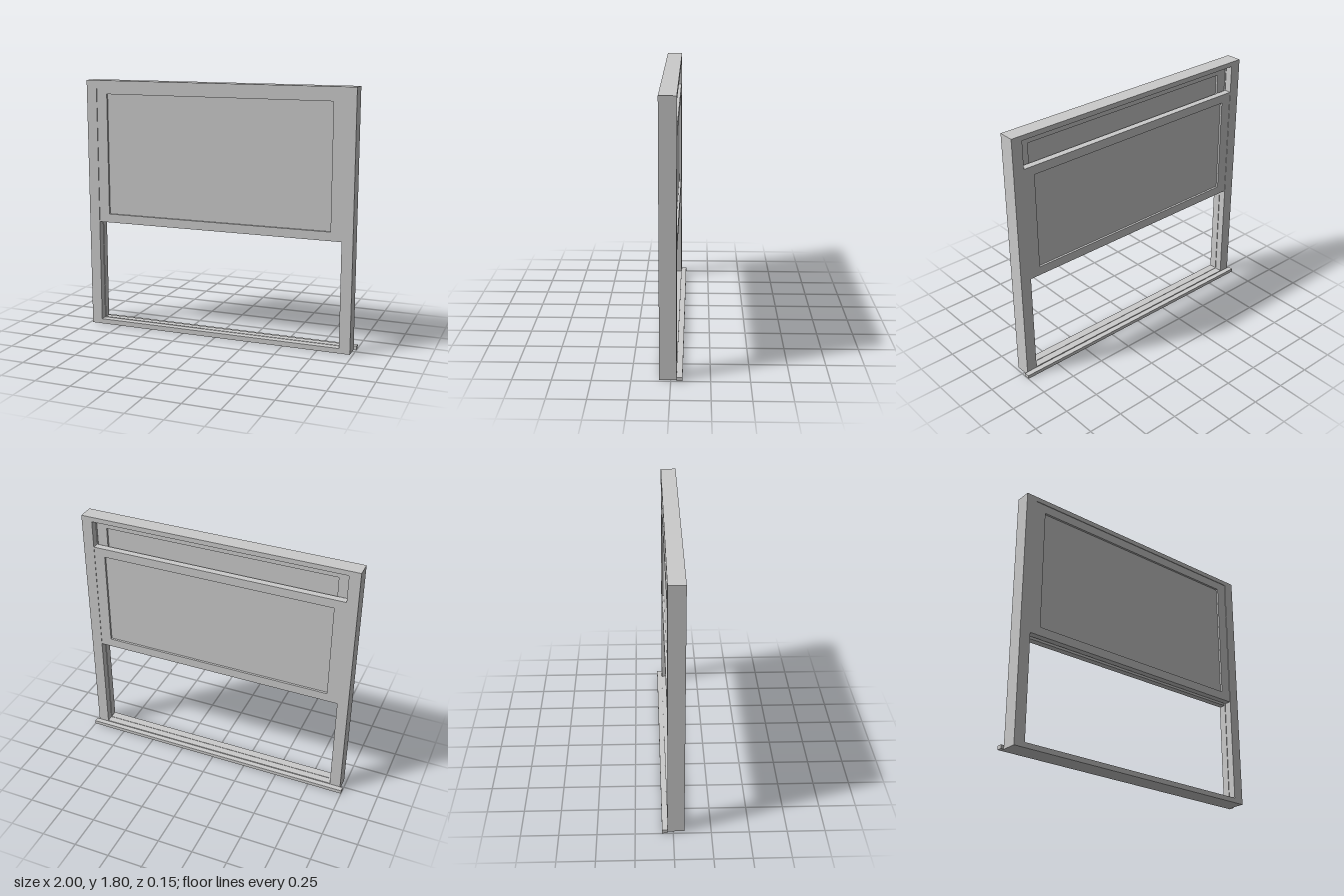
import * as THREE from 'three';

const material = new THREE.MeshStandardMaterial({ color: 0xcccccc });

// Rectangular ring: outer and inner are [x half-width, y bottom, y top], z0..z1 is its depth
function ring(name, outer, inner, z0, z1) {
  const trace = (path, [hw, y0, y1]) => {
    path.moveTo(-hw, y0);
    path.lineTo(hw, y0);
    path.lineTo(hw, y1);
    path.lineTo(-hw, y1);
    path.closePath();
    return path;
  };
  const shape = trace(new THREE.Shape(), outer);
  shape.holes.push(trace(new THREE.Path(), inner));
  const geometry = new THREE.ExtrudeGeometry(shape, { depth: z1 - z0, bevelEnabled: false });
  geometry.translate(0, 0, z0);
  const mesh = new THREE.Mesh(geometry, material);
  mesh.name = name;
  return mesh;
}

function box(name, hw, y0, y1, z0, z1) {
  const mesh = new THREE.Mesh(new THREE.BoxGeometry(hw * 2, y1 - y0, z1 - z0), material);
  mesh.position.set(0, (y0 + y1) / 2, (z0 + z1) / 2);
  mesh.name = name;
  return mesh;
}

// Sliding sash: a frame with a pane set back from both of its faces
function sash(name, y0, y1, z0, z1) {
  const group = new THREE.Group();
  group.name = name;
  const hw = 0.903, paneHw = 0.825, rail = 0.062, inset = 0.015;
  group.add(
    ring(name + 'Frame', [hw, y0, y1], [paneHw, y0 + rail, y1 - rail], z0, z1),
    box(name + 'Pane', paneHw, y0 + rail, y1 - rail, z0 + inset, z1 - inset)
  );
  return group;
}

export function createModel() {
  const model = new THREE.Group();
  model.name = 'sashWindow';
  const front = 0.0735, back = -0.0365;

  // Fixed surround, with a slim bead that parts the two tracks
  model.add(ring('windowFrame', [0.98, 0, 1.8], [0.903, 0.035, 1.766], back, front));
  model.add(ring('partingBead', [0.91, 0.03, 1.77], [0.899, 0.038, 1.762], 0.0135, 0.0215));

  // Outer ledge along the foot of the back
  model.add(box('sill', 1, 0.002, 0.028, -0.0735, back));

  // Tall sash in the front track, shorter raised sash in the back track
  model.add(sash('upperSash', 0.775, 1.766, 0.0215, front - 0.005));
  model.add(sash('lowerSash', 0.762, 1.57, back + 0.003, 0.0135));

  return model;
}
